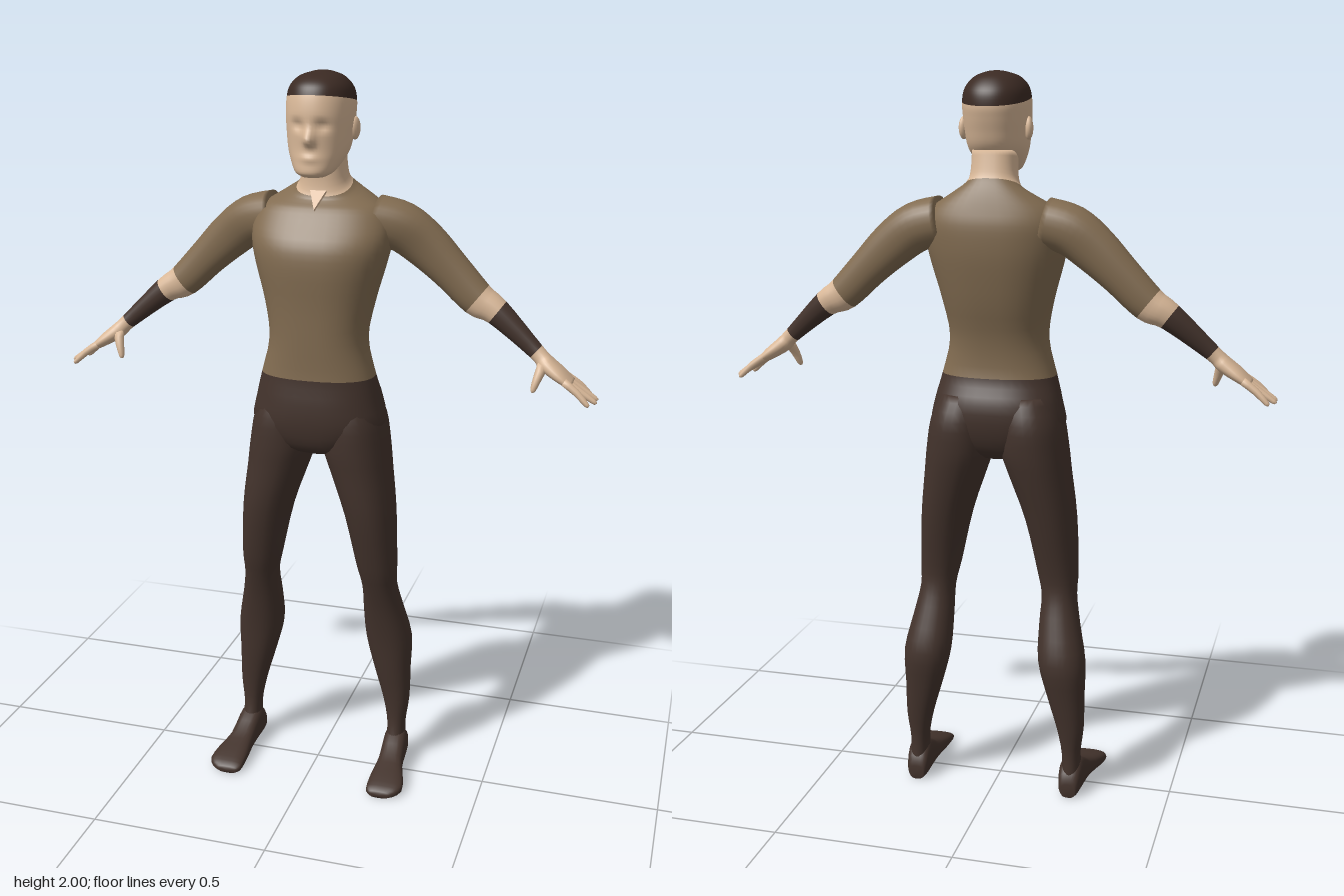
import * as THREE from 'three';

const mat = (name, color) => {
  const m = new THREE.MeshStandardMaterial({ color });
  m.name = name;
  return m;
};

// Smoothly subdivides a list of numeric cross-section rows
function refine(rows, k) {
  const out = [];
  const at = i => rows[Math.min(Math.max(i, 0), rows.length - 1)];
  for (let i = 0; i < rows.length - 1; i++) {
    for (let s = 0; s < k; s++) {
      const t = s / k;
      out.push(rows[i].map((b, c) => {
        const a = at(i - 1)[c], d = at(i + 1)[c], e = at(i + 2)[c];
        return b + 0.5 * t * (d - a + t * (2 * a - 5 * b + 4 * d - e + t * (3 * (b - d) + e - a)));
      }));
    }
  }
  out.push(rows[rows.length - 1]);
  return out;
}

// Skins rings {c, u, v}; parts = [[last ring of the part, material index], ...]
function loft(rings, { n = 28, p = 0.9, side = 1, parts, rule } = {}) {
  const pos = [], idx = [], last = rings.length - 1;
  const pw = a => Math.sign(a) * Math.pow(Math.abs(a), p);
  const put = v => {
    if (rule) rule(v);
    pos.push(v.x * side, v.y, v.z);
  };
  for (const { c, u, v } of rings) {
    for (let j = 0; j < n; j++) {
      const a = j / n * Math.PI * 2;
      put(c.clone().addScaledVector(u, pw(Math.cos(a))).addScaledVector(v, pw(Math.sin(a))));
    }
  }
  put(rings[0].c.clone());
  put(rings[last].c.clone());
  const tri = (a, b, c) => side > 0 ? idx.push(a, b, c) : idx.push(a, c, b);
  const starts = [];
  const ends = last * n + n;
  for (let j = 0; j < n; j++) tri(ends, (j + 1) % n, j);
  for (let i = 0; i < last; i++) {
    starts[i] = i ? idx.length : 0;
    for (let j = 0; j < n; j++) {
      const k = (j + 1) % n, a = i * n, b = a + n;
      tri(a + j, a + k, b + j);
      tri(a + k, b + k, b + j);
    }
  }
  for (let j = 0; j < n; j++) tri(last * n + j, last * n + (j + 1) % n, ends + 1);
  const g = new THREE.BufferGeometry();
  g.setAttribute('position', new THREE.Float32BufferAttribute(pos, 3));
  g.setIndex(idx);
  g.computeVertexNormals();
  if (parts) {
    let from = 0;
    for (const [ring, m] of parts) {
      const to = ring >= last ? idx.length : starts[ring];
      g.addGroup(from, to - from, m);
      from = to;
    }
  }
  return g;
}

// Level rings from rows [y, centre x, half width, front z, back z, tilt]
const level = (rows, k) => refine(rows, k).map(([y, x, w, f, b, tilt]) => {
  const d = (f - b) / 2;
  return {
    c: new THREE.Vector3(x, y, (f + b) / 2),
    u: new THREE.Vector3(w, 0, 0),
    v: new THREE.Vector3(0, -d * tilt, -d),
  };
});

// Rings across a limb from rows [x, y, z, thickness, depth]
const limb = (rows, k) => refine(rows, k).map(([x, y, z, a, b], i, all) => {
  const q = all[Math.max(i - 1, 0)], r = all[Math.min(i + 1, all.length - 1)];
  const d = new THREE.Vector2(r[0] - q[0], r[1] - q[1]).normalize();
  return {
    c: new THREE.Vector3(x, y, z),
    u: new THREE.Vector3(-d.y * a, d.x * a, 0),
    v: new THREE.Vector3(0, 0, b),
  };
});

// Nose, eye sockets, brow and lips
function face(v) {
  if (v.z < 0.02) return;
  const bump = (x, y, sx, sy) => Math.exp(-(((v.x - x) / sx) ** 2) - ((v.y - y) / sy) ** 2);
  v.z += 0.026 * bump(0, 1.832, 0.013, v.y > 1.832 ? 0.026 : 0.012)
    - 0.012 * (bump(0.032, 1.87, 0.018, 0.012) + bump(-0.032, 1.87, 0.018, 0.012))
    + 0.005 * bump(0, 1.787, 0.024, 0.01);
}

export function createModel() {
  const skin = mat('skin', 0xd9b898);
  const shirt = mat('shirt cloth', 0x826c51);
  const dark = mat('dark cloth', 0x43332c);
  const hair = mat('hair', 0x3b2a23);
  const root = new THREE.Group();
  root.name = 'standingMan';
  const add = (name, geometry, material) => {
    const m = new THREE.Mesh(geometry, material);
    m.name = name;
    root.add(m);
    return m;
  };

  // Hips, shirt and neck
  add('torso', loft(level([
    [0.97, 0, 0.05, 0.02, -0.07, 0],
    [1.0, 0, 0.13, 0.08, -0.115, 0],
    [1.06, 0, 0.185, 0.1, -0.138, 0],
    [1.13, 0, 0.176, 0.1, -0.138, 0],
    [1.2, 0, 0.158, 0.092, -0.11, 0],
    [1.3, 0, 0.135, 0.093, -0.113, 0],
    [1.4, 0, 0.15, 0.095, -0.14, 0],
    [1.5, 0, 0.177, 0.1, -0.16, 0],
    [1.56, 0, 0.19, 0.09, -0.166, 0],
    [1.61, 0, 0.19, 0.058, -0.165, 0],
    [1.65, 0, 0.17, 0.03, -0.155, 0],
    [1.68, 0, 0.12, 0.012, -0.14, -0.2],
    [1.705, 0, 0.075, 0, -0.125, -0.4],
    [1.74, 0, 0.062, -0.005, -0.118, -0.3],
    [1.8, 0, 0.06, 0, -0.11, 0],
  ], 3), { n: 40, p: 0.85, parts: [[12, 0], [36, 1], [42, 2]] }), [dark, shirt, skin]);

  // Open collar notch
  const vee = new THREE.Shape([[-0.022, 0.03], [0, -0.03], [0.022, 0.03]].map(q => new THREE.Vector2(...q)));
  const notch = add('collarNotch', new THREE.ExtrudeGeometry(vee, { depth: 0.008, bevelEnabled: false }), skin);
  notch.position.set(0, 1.668, 0.014);
  notch.rotation.x = -0.72;

  // Head with short hair
  add('head', loft(level([
    [1.738, 0, 0.03, 0.07, 0, 0],
    [1.75, 0, 0.05, 0.085, -0.03, 0],
    [1.78, 0, 0.069, 0.083, -0.085, 0],
    [1.81, 0, 0.08, 0.08, -0.115, 0],
    [1.85, 0, 0.085, 0.081, -0.13, 0],
    [1.89, 0, 0.088, 0.082, -0.14, 0.08],
    [1.928, 0, 0.088, 0.073, -0.146, 0.16],
    [1.96, 0, 0.08, 0.058, -0.14, 0.12],
    [1.985, 0, 0.057, 0.028, -0.11, 0.06],
    [1.997, 0, 0.025, -0.01, -0.07, 0],
    [2.0, 0, 0.004, -0.036, -0.044, 0],
  ], 5), { n: 72, p: 0.92, rule: face, parts: [[30, 0], [50, 1]] }), [skin, hair]);

  for (const side of [1, -1]) {
    const label = side > 0 ? 'left' : 'right';

    const ear = add(label + 'Ear', new THREE.SphereGeometry(1, 16, 12), skin);
    ear.scale.set(0.012, 0.03, 0.02);
    ear.position.set(side * 0.087, 1.855, -0.045);
    ear.rotation.y = side * -0.25;

    // Sleeve, bare forearm, wristband and palm
    add(label + 'Arm', loft(limb([
      [0.14, 1.615, -0.07, 0.066, 0.075],
      [0.21, 1.597, -0.078, 0.066, 0.066],
      [0.275, 1.55, -0.085, 0.062, 0.052],
      [0.345, 1.485, -0.087, 0.053, 0.045],
      [0.417, 1.415, -0.085, 0.047, 0.042],
      [0.473, 1.383, -0.081, 0.036, 0.038],
      [0.583, 1.29, -0.06, 0.022, 0.022],
      [0.612, 1.262, -0.053, 0.022, 0.034],
      [0.65, 1.235, -0.05, 0.018, 0.045],
      [0.682, 1.212, -0.05, 0.011, 0.044],
    ], 4), { side, parts: [[16, 0], [20, 1], [24, 2], [36, 1]] }), [shirt, skin, dark]);

    // Fingers fan out from the palm, thumb hangs forward
    [[-0.084, -0.096, 0.735], [-0.062, -0.066, 0.75], [-0.038, -0.034, 0.75], [-0.016, -0.002, 0.735]]
      .forEach(([z0, z1, x], i) => add(label + 'Finger' + (i + 1), loft(limb([
        [0.665, 1.224, z0, 0.011, 0.012],
        [0.7, 1.2, (z0 + z1) / 2, 0.01, 0.01],
        [x - 0.006, 1.172, z1, 0.007, 0.008],
        [x, 1.167, z1, 0.003, 0.004],
      ], 2), { n: 10, p: 1, side }), skin));
    add(label + 'Thumb', loft(limb([
      [0.608, 1.262, -0.038, 0.016, 0.018],
      [0.597, 1.23, -0.018, 0.012, 0.013],
      [0.588, 1.2, -0.008, 0.008, 0.009],
      [0.586, 1.192, -0.006, 0.003, 0.004],
    ], 2), { n: 10, p: 1, side }), skin);

    // Leg
    add(label + 'Leg', loft(level([
      [0.05, 0.226, 0.029, -0.01, -0.103, 0],
      [0.12, 0.225, 0.026, -0.03, -0.1, 0],
      [0.2, 0.222, 0.038, -0.03, -0.11, 0],
      [0.3, 0.208, 0.053, -0.02, -0.124, 0],
      [0.4, 0.196, 0.066, -0.01, -0.135, 0],
      [0.5, 0.184, 0.057, 0.008, -0.105, 0],
      [0.58, 0.177, 0.049, 0.03, -0.08, 0],
      [0.65, 0.17, 0.057, 0.05, -0.08, 0],
      [0.8, 0.15, 0.07, 0.078, -0.11, 0],
      [0.93, 0.12, 0.085, 0.086, -0.135, 0],
      [1.0, 0.105, 0.092, 0.09, -0.145, 0],
      [1.08, 0.098, 0.085, 0.088, -0.146, 0],
      [1.15, 0.085, 0.07, 0.07, -0.12, 0],
    ], 3), { side }), dark);

    // Foot, heel to toe, rows [z, centre x, half width, height]
    add(label + 'Foot', loft(refine([
      [-0.11, 0.225, 0.02, 0.04],
      [-0.1, 0.225, 0.029, 0.07],
      [-0.07, 0.226, 0.034, 0.1],
      [-0.03, 0.228, 0.035, 0.095],
      [0.03, 0.231, 0.036, 0.062],
      [0.09, 0.237, 0.047, 0.046],
      [0.135, 0.24, 0.051, 0.034],
      [0.16, 0.234, 0.042, 0.024],
      [0.17, 0.23, 0.025, 0.014],
    ], 2).map(([z, x, w, h]) => ({
      c: new THREE.Vector3(x, h / 2, z),
      u: new THREE.Vector3(w, 0, 0),
      v: new THREE.Vector3(0, h / 2, 0),
    })), { p: 0.7, side }), dark);
  }
  return root;
}
